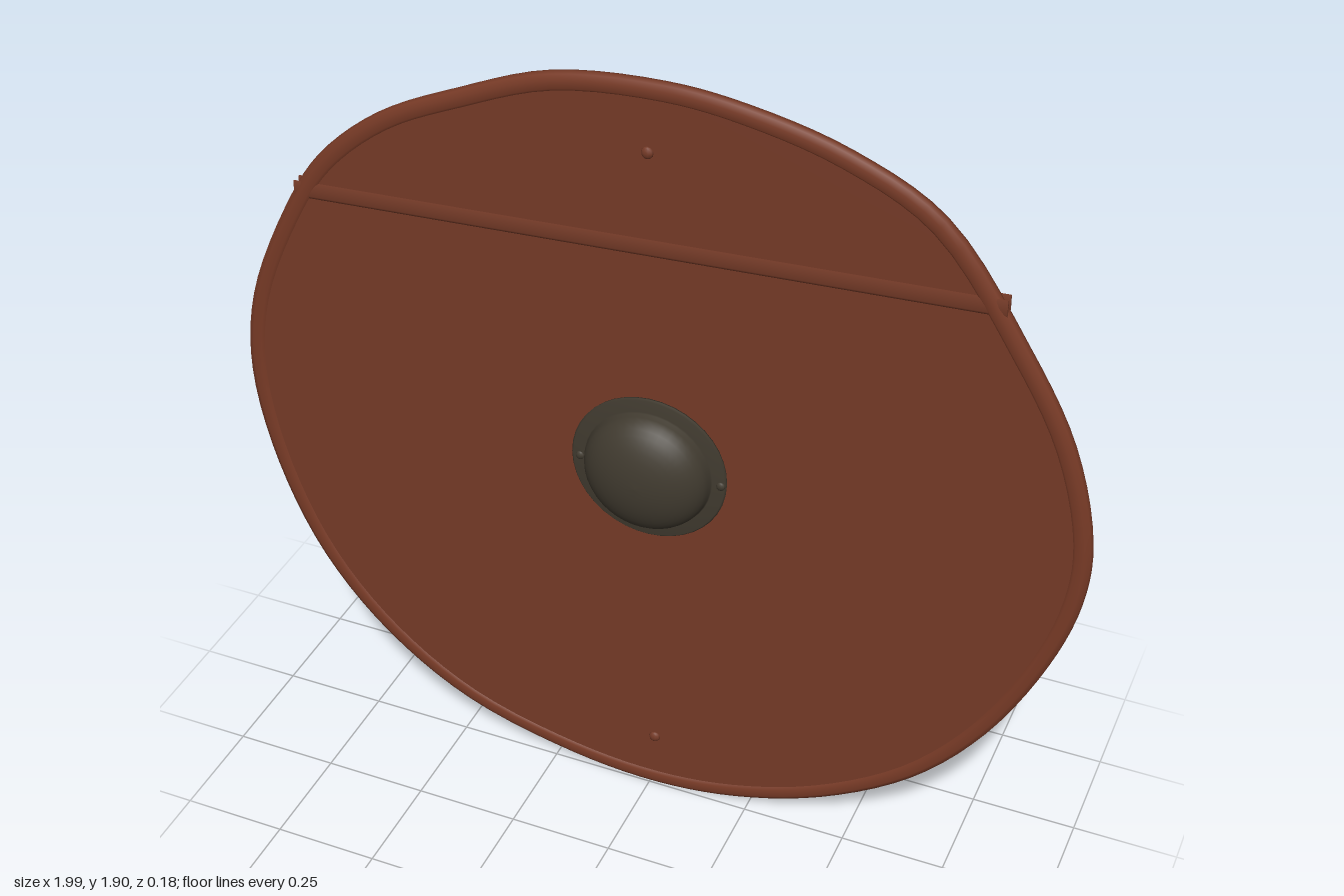
import * as THREE from 'three';

const mat = (name, color, side = THREE.FrontSide) => {
  const m = new THREE.MeshStandardMaterial({ color, side });
  m.name = name;
  return m;
};

// Hand-cut outline, clockwise from the top
const OUTLINE = [
  [0.02, 1.9], [0.2, 1.88], [0.42, 1.82], [0.62, 1.71], [0.81, 1.45], [0.93, 1.23], [0.99, 1.0], [0.985, 0.84],
  [0.93, 0.65], [0.81, 0.415], [0.65, 0.23], [0.435, 0.095], [0.22, 0.025], [0.02, 0.005], [-0.2, 0.03],
  [-0.48, 0.12], [-0.69, 0.27], [-0.85, 0.47], [-0.955, 0.72], [-1, 0.98], [-0.975, 1.19], [-0.875, 1.43],
  [-0.78, 1.58], [-0.63, 1.71], [-0.445, 1.8], [-0.23, 1.88],
];
const CENTRE_Y = 0.95;
const HALF = 0.012; // half thickness of the boards

export function createModel() {
  const red = mat('redBoard', 0x743a27);
  const rimRed = mat('rimLeather', 0x773a26);
  const iron = mat('darkIron', 0x403a2f, THREE.DoubleSide);
  const wood = mat('bareWood', 0xb88b64, THREE.DoubleSide);

  const model = new THREE.Group();
  model.name = 'roundShield';
  const shield = new THREE.Group();
  shield.name = 'shield';
  shield.position.set(0, CENTRE_Y, -0.021);
  shield.rotation.set(-0.008, 0.038, 0);
  model.add(shield);

  const add = (name, geometry, material, x = 0, y = 0, z = 0) => {
    const m = new THREE.Mesh(geometry, material);
    m.name = name;
    m.position.set(x, y, z);
    shield.add(m);
    return m;
  };

  const curve = new THREE.CatmullRomCurve3(
    OUTLINE.map(([x, y]) => new THREE.Vector3(x, y - CENTRE_Y, 0)), true);
  const edge = curve.getPoints(130).slice(0, -1);

  // Board with the hand hole
  const shape = new THREE.Shape(edge.map(p => new THREE.Vector2(p.x * 0.98, p.y * 0.98)));
  shape.holes.push(new THREE.Path().absarc(0, 0, 0.143, 0, Math.PI * 2, true));
  const board = new THREE.ExtrudeGeometry(shape, { depth: HALF * 2, bevelEnabled: false, curveSegments: 20 });
  board.translate(0, 0, -HALF);
  add('board', board, red);

  // Rounded rim swept along the outline
  const section = [[0.958, 0.011], [0.965, 0.017], [0.985, 0.018], [0.997, 0.011], [1, 0],
    [0.997, -0.011], [0.985, -0.018], [0.965, -0.017], [0.958, -0.011]];
  const pos = [], index = [], n = edge.length, s = section.length;
  edge.forEach((p, i) => section.forEach(([k, z], j) => {
    pos.push(p.x * k, p.y * k, z);
    if (j === s - 1) return;
    const a = i * s + j, b = ((i + 1) % n) * s + j;
    index.push(a, b, a + 1, b, b + 1, a + 1);
  }));
  const rim = new THREE.BufferGeometry();
  rim.setAttribute('position', new THREE.Float32BufferAttribute(pos, 3));
  rim.setIndex(index);
  rim.computeVertexNormals();
  add('rim', rim, rimRed);

  // Raised plank joint on both faces
  for (const side of [1, -1]) {
    const ridge = new THREE.CylinderGeometry(0.02, 0.02, 1.6, 8);
    ridge.scale(1, 1, 0.18);
    ridge.rotateZ(-Math.PI / 2 + 0.03);
    add(side > 0 ? 'frontPlankJoint' : 'backPlankJoint', ridge, red, -0.04, 0.565, side * HALF);
  }

  // Bare wood lining of the hand hole, wider at the back
  const lining = new THREE.CylinderGeometry(0.122, 0.143, HALF * 2, 32, 1, true);
  lining.rotateX(Math.PI / 2);
  add('handHoleLining', lining, wood);

  // Hollow iron boss with its flange
  const profile = [[0.125, 0.012], [0.183, 0.012], [0.184, 0.017], [0.18, 0.021], [0.152, 0.023]];
  for (let i = 0; i <= 10; i++) {
    const a = (i / 10) * Math.PI / 2;
    profile.push([0.149 * Math.cos(a), 0.025 + 0.081 * Math.sin(a)]);
  }
  const boss = new THREE.LatheGeometry(profile.map(([r, z]) => new THREE.Vector2(Math.max(r, 0), z)), 40);
  boss.rotateX(Math.PI / 2);
  add('boss', boss, iron, -0.004, 0.003, 0);

  // Boss rivets in front and their bent ends behind
  for (const x of [-0.167, 0.167]) {
    const rivet = new THREE.SphereGeometry(0.011, 10, 6);
    rivet.scale(1, 1, 0.6);
    add('bossRivet', rivet, iron, x, 0, 0.021);
    const nail = new THREE.BoxGeometry(0.08, 0.012, 0.012);
    add('bentNail', nail, iron, x * 1.22, 0, -HALF - 0.005).rotation.z = -0.12;
  }

  // Painted nail heads that hold the handle
  for (const [x, y] of [[-0.012, 0.79], [0.012, -0.795]]) {
    const head = new THREE.SphereGeometry(0.014, 10, 6);
    head.scale(1, 1, 0.6);
    add('handleNail', head, red, x, y, HALF);
  }

  // Long wooden handle with chamfered edges and sloping ends
  const w = 0.034, d = 0.05, c = 0.016, length = 1.75;
  const bar = new THREE.ExtrudeGeometry(new THREE.Shape([
    [-w, 0], [w, 0], [w, d - c], [w - c, d], [c - w, d], [-w, d - c],
  ].map(([x, y]) => new THREE.Vector2(x, y))), { depth: length, bevelEnabled: false });
  bar.rotateX(-Math.PI / 2);
  bar.translate(0, -length / 2, 0);
  const v = bar.attributes.position;
  for (let i = 0; i < v.count; i++) v.setY(i, v.getY(i) + Math.sign(v.getY(i)) * v.getZ(i) * 0.5);
  bar.computeVertexNormals();
  add('handle', bar, wood, -0.004, -0.005, -HALF);

  return model;
}
